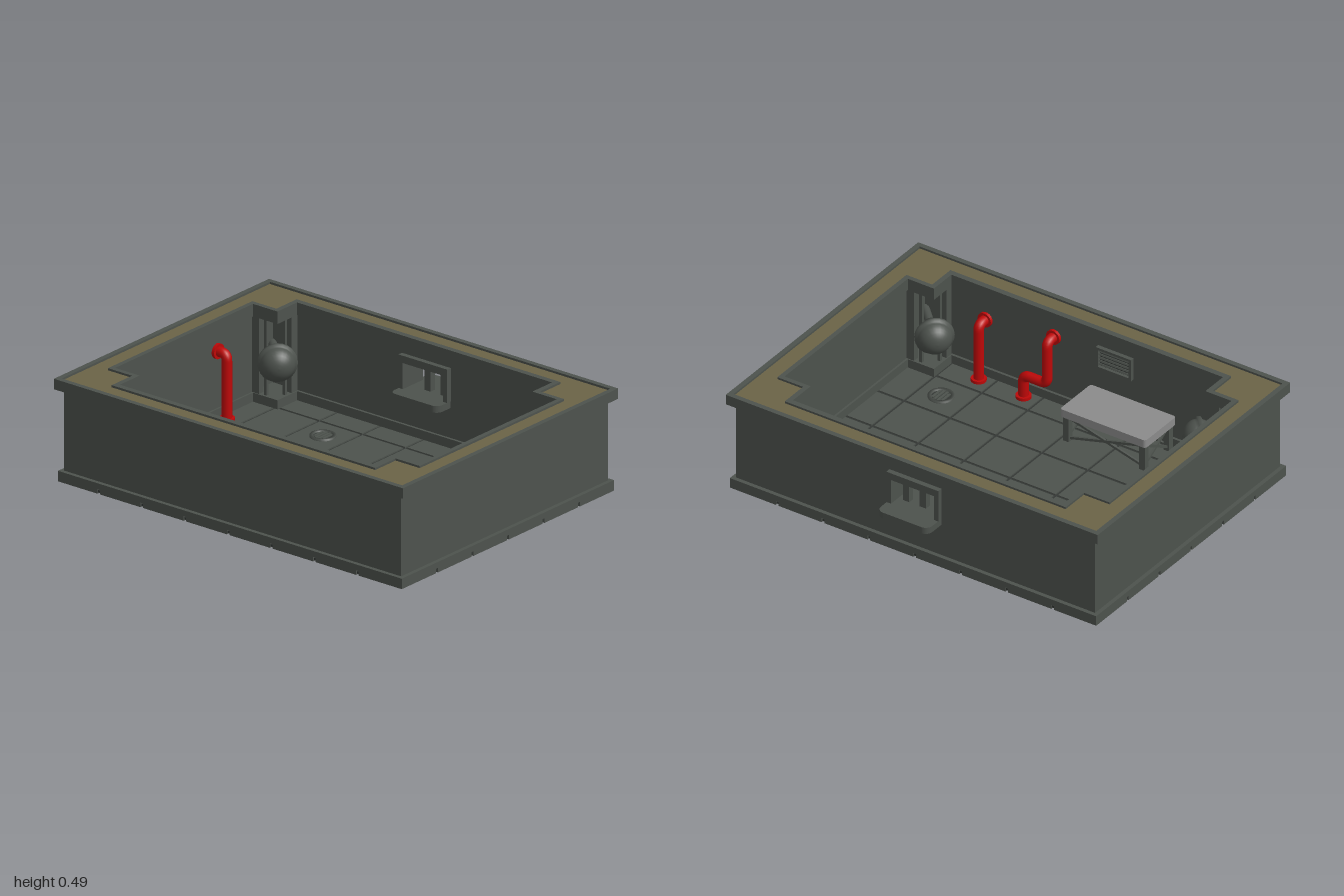
import * as THREE from 'three';

const mat = (name, color) => {
  const m = new THREE.MeshStandardMaterial({ color });
  m.name = name;
  return m;
};

export function createModel() {
  const hull = mat('dark grey green', 0x4d524d);
  const groove = mat('groove grey', 0x343835);
  const tan = mat('olive tan', 0x6b6347);
  const red = mat('pipe red', 0xbe0808);
  const grey = mat('table grey', 0x8b8b8b);

  const root = new THREE.Group();
  const CX = -0.04; // centre line of the room

  const add = (name, geo, material, parent = root) => {
    const m = new THREE.Mesh(geo, material);
    m.name = name;
    parent.add(m);
    return m;
  };
  // box given by its minimum and maximum in each axis
  const box = (name, x0, x1, y0, y1, z0, z1, material = hull, parent = root) => {
    const m = add(name, new THREE.BoxGeometry(x1 - x0, y1 - y0, z1 - z0), material, parent);
    m.position.set((x0 + x1) / 2, (y0 + y1) / 2, (z0 + z1) / 2);
    return m;
  };
  // outlines on the floor plane, centred on the room
  const rect = (a, b) => [[-a, -b], [a, -b], [a, b], [-a, b]];
  const cross = (a, b, c, d) => [[-c, -d], [c, -d], [c, -b], [a, -b], [a, b], [c, b],
    [c, d], [-c, d], [-c, b], [-a, b], [-a, -b], [-c, -b]];
  const toPoints = (list) => list.map(([x, y]) => new THREE.Vector2(x, y));
  const slab = (name, outer, inner, y0, y1, material = hull) => {
    const s = new THREE.Shape(toPoints(outer));
    if (inner) s.holes.push(new THREE.Path(toPoints(inner)));
    const g = new THREE.ExtrudeGeometry(s, { depth: y1 - y0, bevelEnabled: false });
    g.rotateX(-Math.PI / 2);
    const m = add(name, g, material);
    m.position.set(CX, y0, 0);
    return m;
  };
  const roundedSlab = (name, x0, x1, y0, y1, z0, z1, r, material) => {
    const w = (x1 - x0) / 2, d = (z1 - z0) / 2, s = new THREE.Shape();
    s.absarc(w - r, d - r, r, 0, Math.PI / 2);
    s.absarc(-w + r, d - r, r, Math.PI / 2, Math.PI);
    s.absarc(-w + r, -d + r, r, Math.PI, Math.PI * 1.5);
    s.absarc(w - r, -d + r, r, Math.PI * 1.5, Math.PI * 2);
    const g = new THREE.ExtrudeGeometry(s, { depth: y1 - y0, bevelEnabled: false, curveSegments: 6 });
    g.rotateX(-Math.PI / 2);
    add(name, g, material).position.set((x0 + x1) / 2, y0, (z0 + z1) / 2);
  };

  // floor: a thin core with tiles above and below it
  box('floorCore', CX - 0.735, CX + 0.735, 0.005, 0.016, -0.98, 0.98, groove);
  const xs = [-0.78], zs = [-0.985];
  for (let i = -2; i <= 2; i++) xs.push(CX + i * 0.2475);
  for (let i = -3; i <= 3; i++) zs.push(-0.01 + i * 0.247);
  xs.push(0.70);
  zs.push(0.985);
  const gap = (i, n) => (i === 0 || i === n ? 0 : 0.007);
  for (let i = 0; i < xs.length - 1; i++) {
    for (let j = 0; j < zs.length - 1; j++) {
      box('floorTile', xs[i] + gap(i, xs.length - 1), xs[i + 1] - gap(i + 1, xs.length - 1), 0, 0.022,
        zs[j] + gap(j, zs.length - 1), zs[j + 1] - gap(j + 1, zs.length - 1));
    }
  }

  // plinth, skirting and rim
  const opening = cross(0.617, 0.73, 0.48, 0.87);
  const trimEdge = cross(0.645, 0.755, 0.503, 0.893);
  slab('plinth', rect(0.74, 0.985), rect(0.63, 0.88), 0.022, 0.05);
  slab('skirting', rect(0.65, 0.90), opening, 0.022, 0.065);
  slab('rimLip', rect(0.75, 1), rect(0.725, 0.975), 0.44, 0.49);
  slab('rimUnderside', rect(0.725, 0.975), opening, 0.44, 0.47);
  slab('rimTop', rect(0.725, 0.975), trimEdge, 0.47, 0.48, tan);
  slab('openingTrim', trimEdge, opening, 0.43, 0.49);

  // walls, with a hatch in the left one
  box('backWall', -0.76, 0.68, 0.05, 0.44, -0.965, -0.88);
  box('frontWall', -0.76, 0.68, 0.05, 0.44, 0.88, 0.965);
  box('rightWall', -0.76, -0.67, 0.05, 0.44, -0.88, 0.88);
  box('leftWallBelow', 0.59, 0.68, 0.05, 0.24, -0.88, 0.88);
  box('leftWallAbove', 0.59, 0.68, 0.365, 0.44, -0.88, 0.88);
  box('leftWallRear', 0.59, 0.68, 0.24, 0.365, -0.88, -0.115);
  box('leftWallFront', 0.59, 0.68, 0.24, 0.365, 0.115, 0.88);

  // hatch frame, bars and counter
  box('hatchHead', 0.565, 0.705, 0.365, 0.40, -0.14, 0.14);
  for (const s of [-1, 1]) {
    box('hatchJamb', 0.565, 0.705, 0.24, 0.365, s * 0.1275 - 0.0125, s * 0.1275 + 0.0125);
  }
  for (const z of [0.072, -0.018]) box('hatchBar', 0.62, 0.65, 0.24, 0.365, z - 0.017, z + 0.017);
  roundedSlab('hatchCounter', 0.50, 0.785, 0.208, 0.24, -0.138, 0.138, 0.035, hull);

  // corner recesses: posts, and a floodlight on the diagonal
  const lampProfile = [[0, -0.1], [0.035, -0.1], [0.078, -0.015], [0.09, -0.012], [0.09, 0.004], [0.08, 0.006]];
  for (let i = 1; i <= 8; i++) {
    const a = (i / 8) * Math.PI / 2;
    lampProfile.push([i === 8 ? 0 : 0.08 * Math.cos(a), 0.006 + 0.07 * Math.sin(a)]);
  }
  for (const sx of [-1, 1]) {
    for (const sz of [-1, 1]) {
      const corner = new THREE.Group();
      corner.name = 'cornerRecess';
      corner.position.x = CX;
      root.add(corner);
      const post = (x, z, w, d) => {
        box('cornerPost', sx * x - w / 2, sx * x + w / 2, 0.065, 0.44, sz * z - d / 2, sz * z + d / 2, hull, corner);
      };
      post(0.605, 0.75, 0.04, 0.03);
      post(0.555, 0.75, 0.015, 0.015);
      post(0.50, 0.86, 0.03, 0.04);
      post(0.50, 0.81, 0.015, 0.015);
      const lamp = new THREE.Group();
      lamp.name = 'floodlight';
      lamp.position.set(sx * 0.46, 0.255, sz * 0.712);
      lamp.quaternion.setFromUnitVectors(new THREE.Vector3(0, 1, 0),
        new THREE.Vector3(-sx, 0, -sz).normalize());
      corner.add(lamp);
      add('lampHead', new THREE.LatheGeometry(toPoints(lampProfile), 24), hull, lamp);
      const rod = add('lampMount', new THREE.CylinderGeometry(0.02, 0.02, 0.14, 12), hull, lamp);
      rod.position.y = -0.165;
    }
  }

  // floor drains
  for (const [x, z] of [[0.326, -0.376], [-0.41, 0.615]]) {
    const drain = new THREE.Group();
    drain.name = 'floorDrain';
    drain.position.set(x, 0, z);
    root.add(drain);
    const ring = toPoints([[0.044, 0.001], [0.06, 0.001], [0.06, 0.03], [0.044, 0.03], [0.044, 0.001]]);
    add('drainRing', new THREE.LatheGeometry(ring, 28), hull, drain);
    add('drainWell', new THREE.CylinderGeometry(0.044, 0.044, 0.024, 28), groove, drain).position.y = 0.013;
    for (const [dz, w] of [[-0.026, 0.032], [-0.009, 0.041], [0.009, 0.041], [0.026, 0.032]]) {
      box('drainSlat', -w, w, 0.022, 0.029, dz - 0.006, dz + 0.006, hull, drain);
    }
  }

  // red pipes: straight runs joined by rounded elbows, with flanges at both ends
  const pipe = (name, list) => {
    const p = list.map((v) => new THREE.Vector3(...v));
    const path = new THREE.CurvePath();
    let from = p[0];
    for (let i = 1; i < p.length - 1; i++) {
      const a = p[i].clone().add(p[i - 1].clone().sub(p[i]).setLength(0.033));
      const b = p[i].clone().add(p[i + 1].clone().sub(p[i]).setLength(0.033));
      path.add(new THREE.LineCurve3(from, a));
      path.add(new THREE.QuadraticBezierCurve3(a, p[i], b));
      from = b;
    }
    const end = p[p.length - 1];
    path.add(new THREE.LineCurve3(from, end));
    add(name, new THREE.TubeGeometry(path, 70, 0.024, 14), red);
    for (const [at, next] of [[p[0], p[1]], [end, p[p.length - 2]]]) {
      const dir = next.clone().sub(at).normalize();
      const f = add('pipeFlange', new THREE.CylinderGeometry(0.036, 0.036, 0.014, 18), red);
      f.position.copy(at).addScaledVector(dir, 0.007);
      f.quaternion.setFromUnitVectors(new THREE.Vector3(0, 1, 0), dir);
    }
  };
  pipe('backPipe', [[0.2, 0.34, -0.88], [0.2, 0.34, -0.822], [0.2, 0.022, -0.822]]);
  pipe('longPipe', [[-0.67, 0.36, 0.185], [-0.613, 0.36, 0.185], [-0.613, 0.14, 0.185],
    [-0.613, 0.14, 0.312], [-0.613, 0.022, 0.312]]);
  pipe('frontPipe', [[-0.67, 0.315, 0.553], [-0.613, 0.315, 0.553], [-0.613, 0.022, 0.553]]);

  // wall vent
  box('ventBack', -0.671, -0.665, 0.30, 0.40, -0.23, -0.06, groove);
  for (const y of [0.295, 0.395]) box('ventRail', -0.671, -0.65, y - 0.006, y + 0.006, -0.24, -0.05);
  for (const z of [-0.234, -0.056]) box('ventSide', -0.671, -0.65, 0.30, 0.39, z - 0.006, z + 0.006);
  for (let i = 0; i < 5; i++) {
    box('ventSlat', -0.668, -0.654, 0.308 + i * 0.017, 0.316 + i * 0.017, -0.23, -0.06).rotation.z = 0.4;
  }

  // table with cross braces
  roundedSlab('tableTop', -0.655, -0.415, 0.15, 0.19, -0.48, -0.02, 0.015, grey);
  for (const x of [-0.63, -0.44]) {
    for (const z of [-0.455, -0.045]) {
      box('tableLeg', x - 0.015, x + 0.015, 0.022, 0.15, z - 0.015, z + 0.015);
    }
  }
  const brace = (x, z, len, alongX, tilt) => {
    const g = alongX ? new THREE.BoxGeometry(len, 0.012, 0.01) : new THREE.BoxGeometry(0.01, 0.012, len);
    const m = add('tableBrace', g, hull);
    m.position.set(x, 0.09, z);
    m.rotation[alongX ? 'z' : 'x'] = tilt;
  };
  for (const s of [-1, 1]) {
    for (const z of [-0.455, -0.045]) brace(-0.535, z, 0.21, true, s * 0.52);
    for (const x of [-0.63, -0.44]) brace(x, -0.25, 0.41, false, s * 0.26);
  }
  return root;
}
